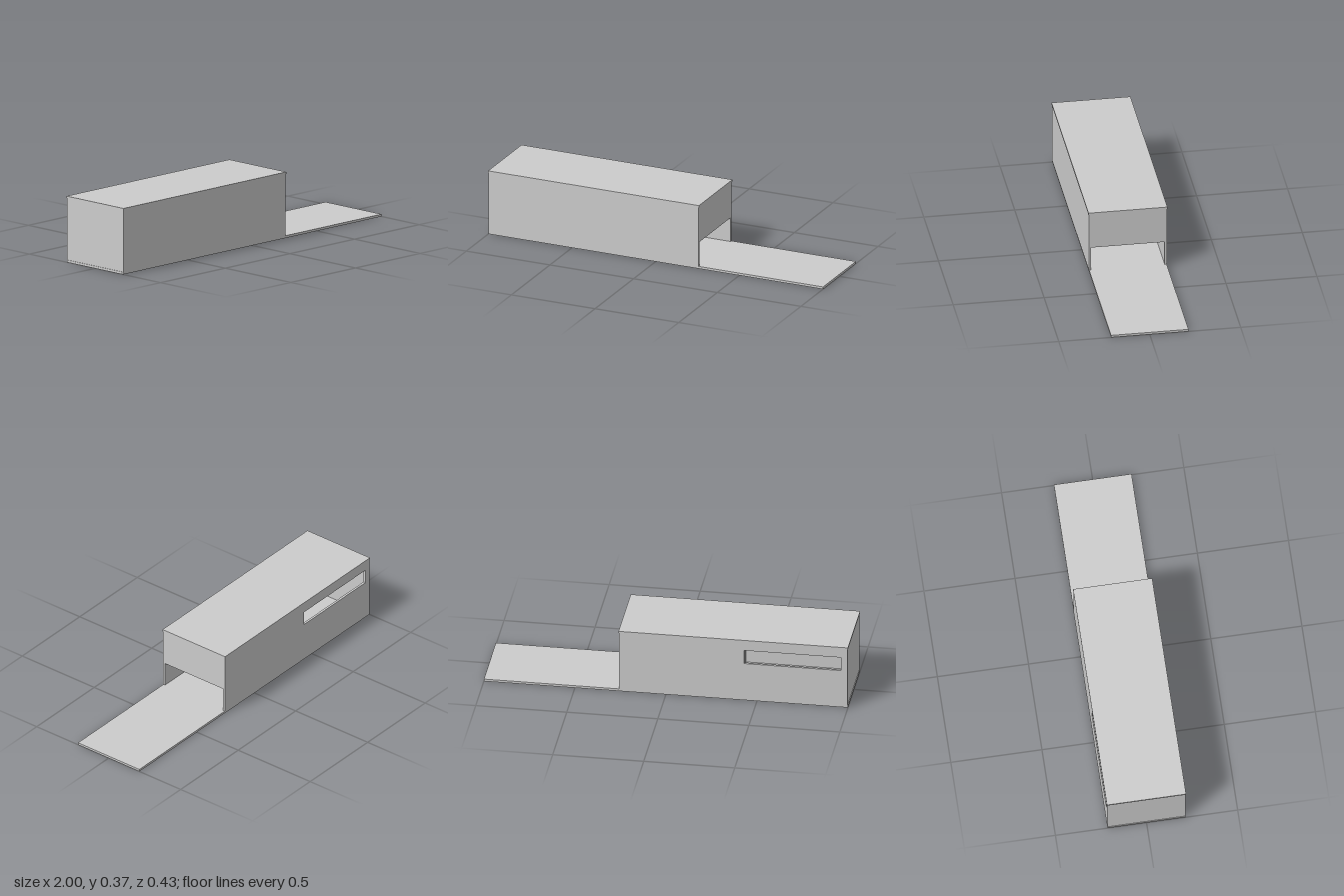
import * as THREE from 'three';

export function createModel() {
  const group = new THREE.Group();
  const material = new THREE.MeshStandardMaterial({ color: 0xcccccc, flatShading: true });
  const T = 0.013; // wall thickness
  const FLOOR = 0.013, EAVES = 0.357;
  const X0 = -0.997, X1 = 0.257, Z = 0.215;

  const add = (name, geometry) => {
    const mesh = new THREE.Mesh(geometry, material);
    mesh.name = name;
    group.add(mesh);
    return mesh;
  };

  // Box given by its two extreme corners
  const slab = (name, x0, x1, y0, y1, z0, z1) => {
    const mesh = add(name, new THREE.BoxGeometry(x1 - x0, y1 - y0, z1 - z0));
    mesh.position.set((x0 + x1) / 2, (y0 + y1) / 2, (z0 + z1) / 2);
  };

  // Cross wall in the z-y plane with a doorway open at the floor
  const crossWall = (name, x, halfWidth, doorMin, doorMax, doorTop) => {
    const outline = [
      [-halfWidth, FLOOR], [doorMin, FLOOR], [doorMin, doorTop], [doorMax, doorTop],
      [doorMax, FLOOR], [halfWidth, FLOOR], [halfWidth, EAVES], [-halfWidth, EAVES],
    ].map(([z, y]) => new THREE.Vector2(-z, y));
    const geometry = new THREE.ExtrudeGeometry(new THREE.Shape(outline), { depth: T, bevelEnabled: false });
    geometry.rotateY(Math.PI / 2);
    add(name, geometry).position.x = x;
  };

  // Floor running on as an open terrace, and the roof
  slab('floorAndTerrace', -1, 1, 0, FLOOR, -0.213, 0.213);
  slab('roof', -1, 0.26, EAVES, 0.368, -0.217, 0.217);

  // Solid front and end walls
  slab('frontWall', X0, X1 - T, FLOOR, EAVES, Z - T, Z);
  slab('endWall', X0, X0 + T, FLOOR, EAVES, T - Z, Z - T);

  // Back wall with a long strip window
  const back = new THREE.Shape();
  back.moveTo(X0, FLOOR).lineTo(X1 - T, FLOOR).lineTo(X1 - T, EAVES).lineTo(X0, EAVES).closePath();
  const strip = new THREE.Path();
  strip.moveTo(-0.963, 0.225).lineTo(-0.963, 0.305).lineTo(-0.43, 0.305).lineTo(-0.43, 0.225).closePath();
  back.holes.push(strip);
  add('backWall', new THREE.ExtrudeGeometry(back, { depth: T, bevelEnabled: false })).position.z = -Z;

  // Wide terrace opening and the inner doorway
  crossWall('terraceWall', X1 - T, Z, T - Z, Z - T, 0.152);
  crossWall('innerPartition', -0.375, Z - T, -0.152, 0.171, 0.131);

  return group;
}
